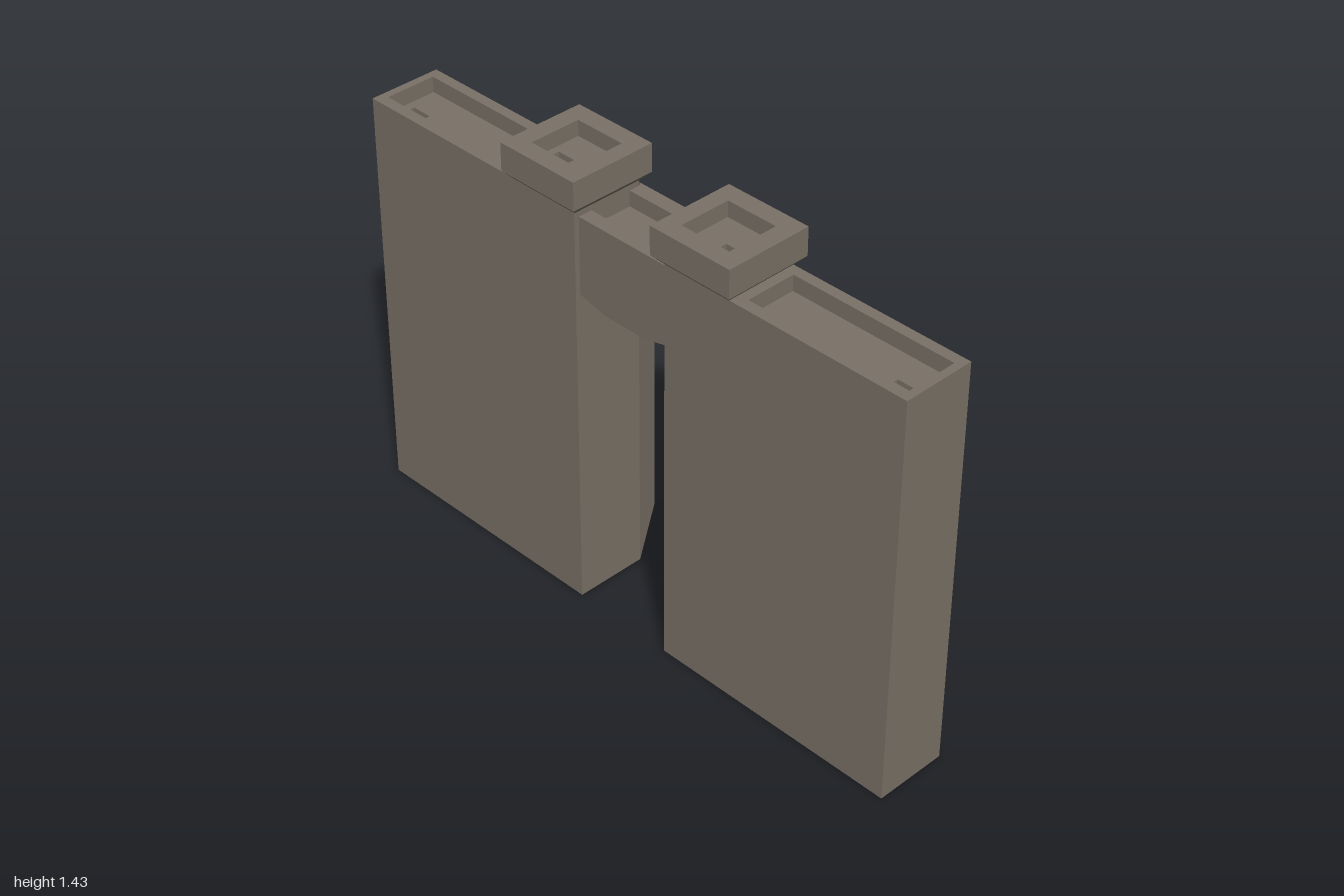
import * as THREE from 'three';

export function createModel() {
  const stone = new THREE.MeshStandardMaterial({ color: 0x7a7267 });
  stone.name = 'weathered stone';
  const group = new THREE.Group();
  group.name = 'gatehouse';

  const add = (parent, name, geometry) => {
    const mesh = new THREE.Mesh(geometry, stone);
    mesh.name = name;
    parent.add(mesh);
    return mesh;
  };

  // Rectangles are [x0, x1, z0, z1]
  const corners = ([x0, x1, z0, z1]) =>
    [[x0, -z1], [x1, -z1], [x1, -z0], [x0, -z0]].map(([x, y]) => new THREE.Vector2(x, y));

  // Horizontal slab from y0 to y1 with an optional rectangular opening
  const slab = (rect, y0, y1, hole) => {
    const shape = new THREE.Shape(corners(rect));
    if (hole) shape.holes.push(new THREE.Path(corners(hole).reverse()));
    return new THREE.ExtrudeGeometry(shape, { depth: y1 - y0, bevelEnabled: false })
      .rotateX(-Math.PI / 2)
      .translate(0, y0, 0);
  };

  // Box with its vertices moved by a rule
  const shapedBox = (size, centre, rule) => {
    const geometry = new THREE.BoxGeometry(...size);
    const p = geometry.attributes.position;
    const v = new THREE.Vector3();
    for (let i = 0; i < p.count; i++) {
      rule(v.fromBufferAttribute(p, i));
      p.setXYZ(i, v.x, v.y, v.z);
    }
    geometry.translate(...centre);
    geometry.computeVertexNormals();
    return geometry;
  };

  for (const side of [1, -1]) {
    const half = new THREE.Group();
    half.name = side > 0 ? 'frontHalf' : 'backHalf';
    group.add(half);
    const rect = (x0, x1, z0, z1) => (side > 0 ? [x0, x1, z0, z1] : [x0, x1, -z1, -z0]);

    // Wall with a sunken walkway and a stair hatch
    const wall = rect(-0.148, 0.086, 0.17, 1);
    add(half, 'wall', slab(wall, 0, 1.235));
    add(half, 'walkwayFloor', slab(wall, 1.235, 1.265, rect(-0.107, -0.044, 0.88, 0.948)));
    add(half, 'wallParapet', slab(wall, 1.265, 1.315, rect(-0.112, 0.052, 0.435, 0.975)));

    // Chamfered buttress on the outer face
    add(half, 'buttress', shapedBox([0.084, 1.315, 0.234], [0.128, 0.6575, side * 0.287], (v) => {
      if (v.x > 0) {
        v.y = v.y > 0 ? 0.5125 : -0.5075;
        v.z = Math.sign(v.z) * 0.092;
      }
    }));

    // Flared neck under the tower cap
    add(half, 'towerNeck', shapedBox([0.286, 0.027, 0.284], [-0.031, 1.3275, side * 0.285], (v) => {
      if (v.y < 0) {
        v.x *= 0.117 / 0.143;
        v.z *= 0.117 / 0.142;
      }
    }));

    // Tower cap with a sunken platform and hatch
    const cap = rect(-0.174, 0.112, 0.143, 0.427);
    add(half, 'capBase', slab(cap, 1.341, 1.355));
    add(half, 'capFloor', slab(cap, 1.355, 1.38, rect(-0.092, -0.04, 0.285, 0.345)));
    add(half, 'capParapet', slab(cap, 1.38, 1.43, rect(-0.115, 0.053, 0.198, 0.368)));
  }

  // Bridge with a shallow arched underside, running along z
  const profile = new THREE.Shape([
    [-0.18, 1.05], [-0.075, 1.025], [0.075, 1.025], [0.18, 1.05], [0.18, 1.245], [-0.18, 1.245],
  ].map(([x, y]) => new THREE.Vector2(x, y)));
  add(group, 'bridgeDeck', new THREE.ExtrudeGeometry(profile, { depth: 0.234, bevelEnabled: false })
    .rotateY(Math.PI / 2)
    .translate(-0.132, 0, 0));

  // Bridge parapets
  add(group, 'bridgeParapetRight', slab([-0.132, -0.086, -0.18, 0.18], 1.245, 1.295));
  add(group, 'bridgeParapetLeft', slab([0.054, 0.102, -0.18, 0.18], 1.245, 1.295));

  return group;
}
